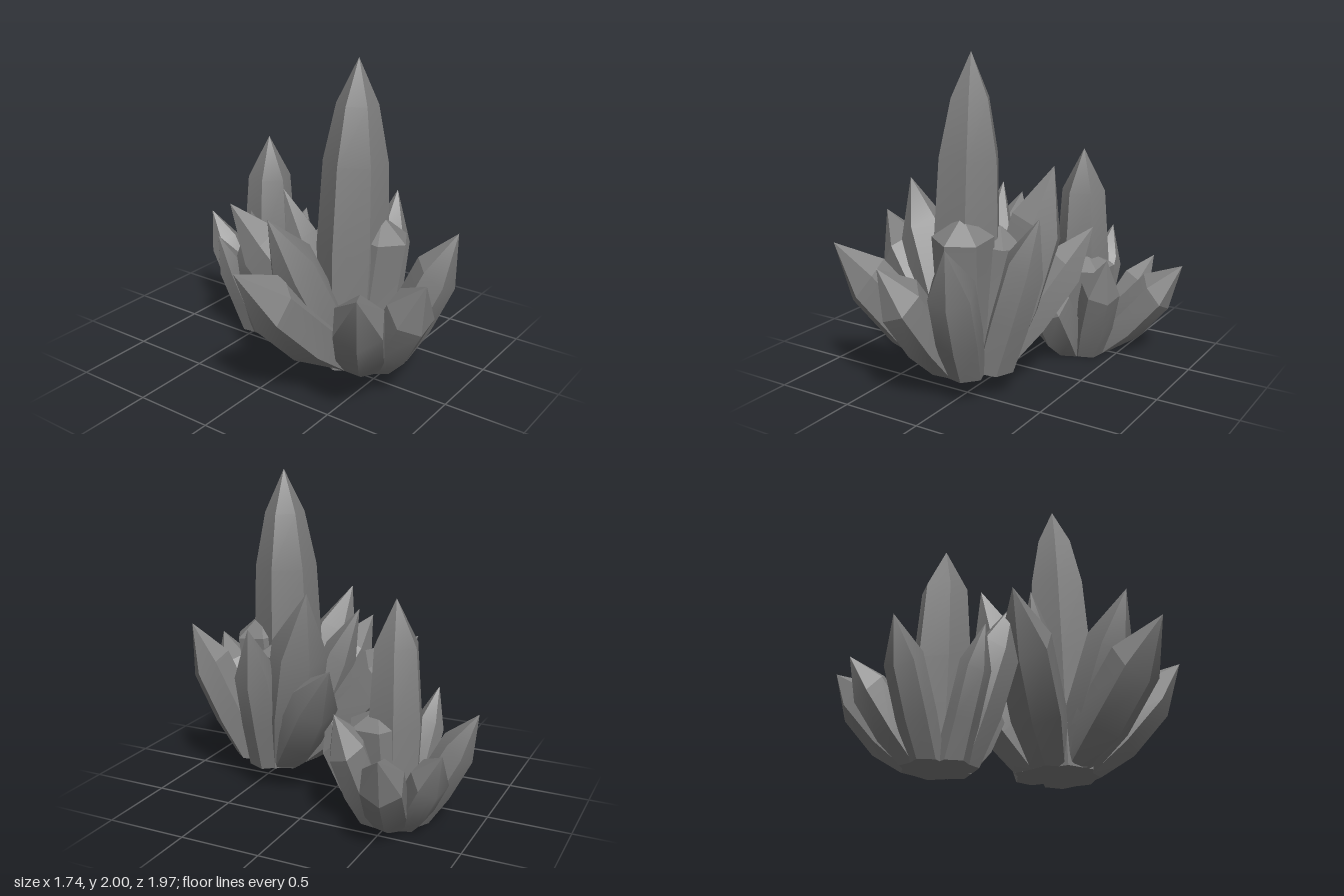
import * as THREE from 'three';
import { toCreasedNormals } from 'three/addons/utils/BufferGeometryUtils.js';

const material = new THREE.MeshStandardMaterial({ color: 0x808080, side: THREE.DoubleSide });

// Profiles: [fraction along the axis, fraction of the radius, slant of the ring]
const SPEAR = [[0.32, 0.97, 0], [0.7, 0.95, 0.035]];
const TOWER = [[0.4, 1.1, 0], [0.68, 0.97, 0], [0.86, 0.62, 0]];
const SHORT_TOWER = [[0.45, 1.15, 0], [0.8, 0.92, 0]];
const STUB = [[0.45, 0.95, 0], [0.87, 1, 0]];

// Faceted crystal: flat foot on the floor, tilted rings, single point
function crystal(name, base, tip, radius, { foot = 0.11, sides = 6, profile = SPEAR, phase } = {}) {
  const b = new THREE.Vector3(...base);
  const axis = new THREE.Vector3(...tip).sub(b);
  const turn = new THREE.Quaternion().setFromUnitVectors(new THREE.Vector3(0, 1, 0), axis.clone().normalize());
  const start = phase ?? Math.atan2(-axis.z, axis.x);
  const positions = [];
  const index = [];
  const ring = (f, r, slant, tilted) => {
    for (let k = 0; k < sides; k++) {
      const turnBy = (k / sides) * Math.PI * 2;
      const a = start + turnBy;
      const p = new THREE.Vector3(Math.cos(a) * r, 0, -Math.sin(a) * r);
      if (tilted) p.applyQuaternion(turn);
      // the shoulder sits lower on the underside than on top
      p.addScaledVector(axis, f - slant * Math.cos(turnBy)).add(b);
      p.y = Math.max(p.y, b.y);
      positions.push(p.x, p.y, p.z);
    }
  };
  ring(0, foot, 0, false);
  profile.forEach(([f, s, slant]) => ring(f, radius * s, slant, true));
  const last = profile.length * sides;
  const tipId = last + sides;
  positions.push(...tip, ...base);
  for (let k = 0; k < sides; k++) {
    const n = (k + 1) % sides;
    for (let i = 0; i < last; i += sides) {
      index.push(i + k, i + n, i + sides + n, i + k, i + sides + n, i + sides + k);
    }
    index.push(last + k, last + n, tipId);
    index.push(n, k, tipId + 1);
  }
  const geometry = new THREE.BufferGeometry();
  geometry.setAttribute('position', new THREE.Float32BufferAttribute(positions, 3));
  geometry.setIndex(index);
  const mesh = new THREE.Mesh(toCreasedNormals(geometry, 0.4), material);
  mesh.name = name;
  return mesh;
}

// Cluster: outer crystals fan out from a small ring around the centre
function cluster(name, [cx, floor, cz], spread, foot, spears) {
  const group = new THREE.Group();
  group.name = name;
  spears.forEach(([x, y, z, radius], i) => {
    const a = Math.atan2(z - cz, x - cx);
    const base = [cx + Math.cos(a) * spread, floor, cz + Math.sin(a) * spread];
    group.add(crystal(`outerCrystal${i + 1}`, base, [x, y, z], radius, { foot }));
  });
  return group;
}

export function createModel() {
  const model = new THREE.Group();
  model.name = 'crystalClusters';

  // Large front cluster
  const large = cluster('largeCluster', [-0.01, 0.15, 0.43], 0.15, 0.12, [
    [-0.87, 0.93, 0.13, 0.18],
    [-0.63, 1.18, 0.18, 0.16],
    [-0.71, 0.90, 0.82, 0.165],
    [-0.26, 0.86, 0.98, 0.155],
    [0.17, 1.02, 0.94, 0.145],
    [0.42, 1.10, 0.38, 0.13],
    [0.47, 0.93, -0.18, 0.15],
    [0.32, 1.33, 0.04, 0.18],
    [-0.12, 1.16, -0.10, 0.12],
    [-0.20, 1.01, -0.46, 0.18],
  ]);
  large.add(
    crystal('mainCrystal', [-0.1, 0.15, 0.38], [-0.035, 2, 0.37], 0.195, { foot: 0.18, profile: TOWER, phase: 0 }),
    crystal('frontStub', [-0.04, 0.15, 0.43], [0, 1.09, 0.53], 0.18, { foot: 0.18, profile: STUB, phase: 0.5 }),
    crystal('leftStub', [0.06, 0.15, 0.36], [0.11, 1.0, 0.3], 0.16, { foot: 0.16, profile: STUB, phase: 0.2 }),
  );

  // Small rear cluster
  const small = cluster('smallCluster', [0.235, 0, -0.49], 0.12, 0.1, [
    [0.22, 0.72, -0.99, 0.115],
    [0.57, 0.58, -0.90, 0.12],
    [0.87, 0.62, -0.65, 0.14],
    [0.54, 0.71, -0.24, 0.13],
    [-0.14, 0.97, -0.34, 0.135],
    [-0.13, 0.73, -0.63, 0.095],
    [0.18, 0.58, -0.02, 0.15],
  ]);
  small.add(
    crystal('mainCrystal', [0.24, 0, -0.5], [0.24, 1.34, -0.49], 0.15, { foot: 0.14, profile: SHORT_TOWER, phase: 0.3 }),
    crystal('frontStub', [0.27, 0, -0.45], [0.3, 0.7, -0.41], 0.19, { foot: 0.15, profile: STUB, phase: 0.4 }),
  );

  model.add(large, small);
  return model;
}
